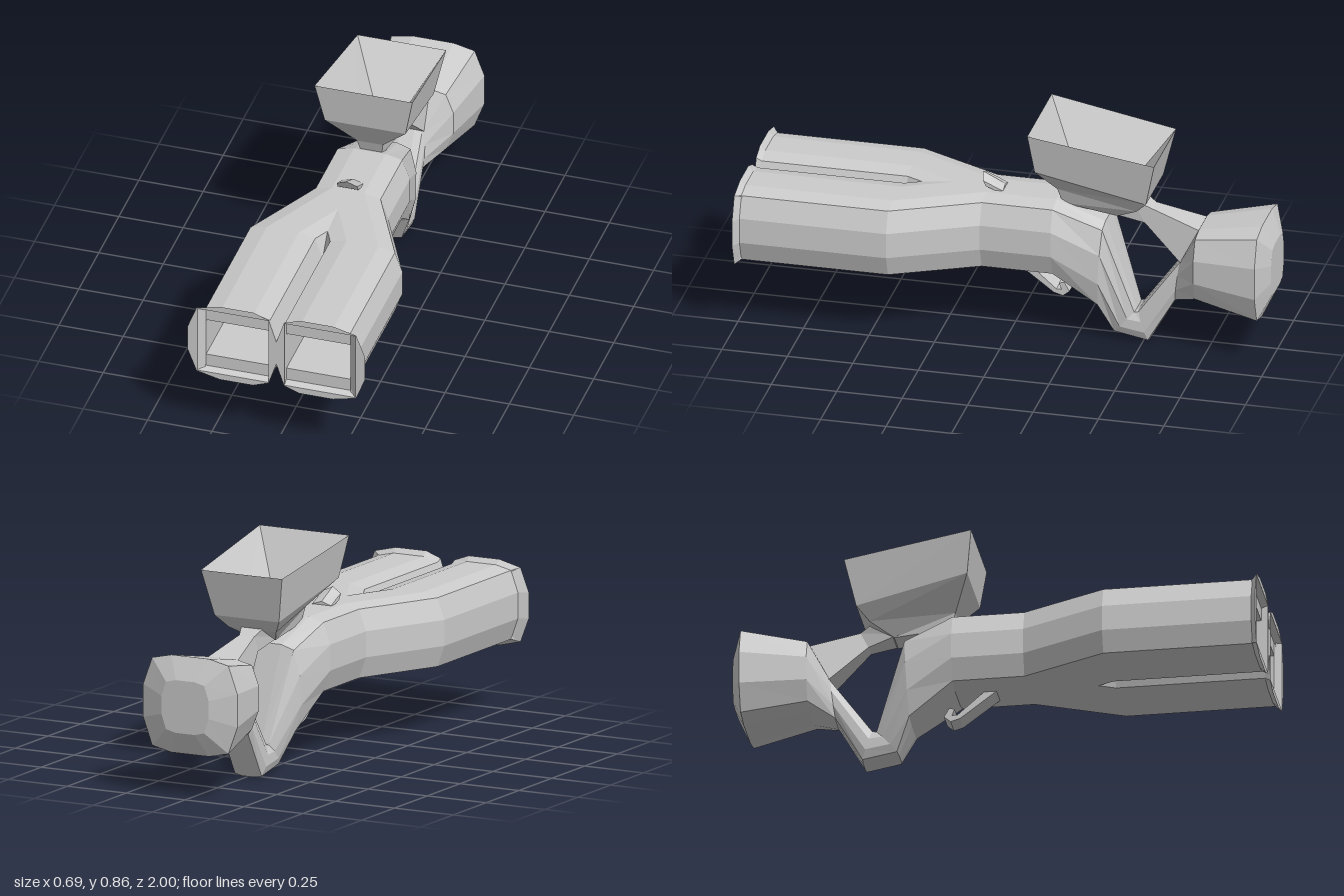
import * as THREE from 'three';

const material = new THREE.MeshStandardMaterial({ color: 0xcccccc, flatShading: true, side: THREE.DoubleSide });

// Unit cross-sections, counter-clockwise
const ROUND = [[1, -0.34], [1, 0.34], [0.81, 0.9], [0.4, 1], [-0.4, 1], [-0.81, 0.9],
  [-1, 0.34], [-1, -0.34], [-0.81, -0.9], [-0.4, -1], [0.4, -1], [0.81, -0.9]];
const BOX = [[1, -1], [1, 1], [-1, 1], [-1, -1]];
const ROOF = [[1, -1], [1, 0], [0, 1], [-1, 0], [-1, -1]];

// Ring spanned between a top and a bottom point, each given as [z, y]
function ring(profile, top, bottom, hx, { cx = 0, hxTop = hx } = {}) {
  return profile.map(([px, py]) => {
    const t = (py + 1) / 2;
    return [
      cx + px * (hx + (hxTop - hx) * t),
      bottom[1] + (top[1] - bottom[1]) * t,
      bottom[0] + (top[0] - bottom[0]) * t,
    ];
  });
}

function mesh(geometry, name) {
  const m = new THREE.Mesh(geometry, material);
  m.name = name;
  return m;
}

// Faceted skin through successive rings, optionally closed at the ends
function loft(name, rings, capStart = false, capEnd = false) {
  const pos = [];
  const tri = (a, b, c) => pos.push(...a, ...b, ...c);
  const n = rings[0].length;
  for (let i = 0; i < rings.length - 1; i++) {
    for (let j = 0; j < n; j++) {
      const k = (j + 1) % n;
      const [a, b, c, d] = [rings[i][j], rings[i][k], rings[i + 1][j], rings[i + 1][k]];
      tri(a, c, b);
      tri(b, c, d);
    }
  }
  const first = rings[0], last = rings[rings.length - 1];
  for (let j = 1; j < n - 1; j++) {
    if (capStart) tri(first[0], first[j], first[j + 1]);
    if (capEnd) tri(last[0], last[j + 1], last[j]);
  }
  const g = new THREE.BufferGeometry();
  g.setAttribute('position', new THREE.Float32BufferAttribute(pos, 3));
  g.computeVertexNormals();
  return mesh(g, name);
}

const CY = 0.407, HY = 0.145, HX = 0.155;
const tube = (z, cx) => ring(ROUND, [z, CY + HY], [z, CY - HY], HX, { cx });
const rect = (z, x0, x1, hy) =>
  ring(BOX, [z, CY + hy], [z, CY - hy], (x1 - x0) / 2, { cx: (x0 + x1) / 2 });

function barrel(name) {
  const group = new THREE.Group();
  group.name = name;
  // Flared lip, wider on the outer side only
  const lip = [[0.345, -0.05], [0.345, 0.05], [0.31, 0.141], [0.22, 0.163], [0.09, 0.163], [0.03, 0.141],
    [0, 0.05], [0, -0.05], [0.03, -0.141], [0.09, -0.163], [0.22, -0.163], [0.31, -0.141]];
  const lipRing = lip.map(([x, y]) => [x, CY + y, 1]);
  group.add(loft('barrelShell', [lipRing, tube(0.98, HX), tube(0.42, HX), tube(0.1, 0)]));

  // Front of the lip
  const shape = new THREE.Shape(lip.map(([x, y]) => new THREE.Vector2(x, CY + y)));
  const opening = rect(1, 0.031, 0.307, 0.138);
  shape.holes.push(new THREE.Path(opening.map(([x, y]) => new THREE.Vector2(x, y)).reverse()));
  const face = new THREE.ShapeGeometry(shape);
  face.translate(0, 0, 1);
  group.add(mesh(face, 'lipFace'));

  // Recessed muzzle and rectangular bore
  group.add(loft('bore', [
    rect(0.45, 0.032, 0.28, 0.077),
    rect(0.975, 0.032, 0.28, 0.077),
    rect(0.975, 0.031, 0.28, 0.127),
    opening,
  ], true));
  return group;
}

// Side profile [z, y] extruded across the width
function sidePlate(name, points, width) {
  const shape = new THREE.Shape(points.map(([z, y]) => new THREE.Vector2(z, y)));
  const g = new THREE.ExtrudeGeometry(shape, { depth: width, bevelEnabled: false });
  g.translate(0, 0, -width / 2);
  g.rotateY(-Math.PI / 2);
  return mesh(g, name);
}

export function createModel() {
  const model = new THREE.Group();
  model.name = 'doubleBarrelBlaster';

  // Twin barrels sliding together into one body
  const left = barrel('leftBarrel');
  const right = barrel('rightBarrel');
  right.scale.x = -1;
  model.add(left, right);

  // Body bending down to the elbow, then up into the bulbous stock
  model.add(loft('bodyAndStock', [
    tube(0.1, 0),
    tube(-0.17, 0),
    ring(ROUND, [-0.355, 0.48], [-0.335, 0.14], 0.125),
    ring(ROUND, [-0.47, 0.125], [-0.385, 0.03], 0.07),
    ring(ROUND, [-0.48, 0.13], [-0.52, 0.005], 0.07),
    ring(ROUND, [-0.64, 0.35], [-0.62, 0.18], 0.07),
    ring(ROUND, [-0.715, 0.49], [-0.715, 0.22], 0.155),
    ring(ROUND, [-0.96, 0.54], [-0.96, 0.17], 0.2),
    ring(ROUND, [-1, 0.455], [-1, 0.255], 0.1),
  ], false, true));

  // Open hopper: inside, rim, outside and neck
  model.add(loft('hopper', [
    ring(BOX, [-0.43, 0.6], [-0.21, 0.63], 0.065),
    ring(BOX, [-0.57, 0.78], [-0.09, 0.86], 0.19, { hxTop: 0.172 }),
    ring(BOX, [-0.53, 0.605], [-0.11, 0.7], 0.157, { hxTop: 0.137 }),
    ring(BOX, [-0.485, 0.555], [-0.17, 0.59], 0.05, { hxTop: 0.1 }),
    ring(BOX, [-0.4, 0.505], [-0.19, 0.53], 0.04, { hxTop: 0.05 }),
  ], true, true));

  // Strut from the hopper to the stock
  model.add(loft('strut', [
    ring(BOX, [-0.46, 0.58], [-0.38, 0.515], 0.055),
    ring(BOX, [-0.53, 0.54], [-0.5, 0.48], 0.032),
    ring(BOX, [-0.72, 0.485], [-0.65, 0.34], 0.065),
  ], true, true));

  // Peaked front sight
  model.add(loft('sight', [
    ring(ROOF, [0.125, 0.607], [0.105, 0.565], 0.04),
    ring(ROOF, [0.04, 0.565], [0.04, 0.54], 0.04),
  ], true, true));

  // Hooked trigger
  model.add(sidePlate('trigger', [[0, 0.275], [-0.155, 0.16], [-0.19, 0.15], [-0.215, 0.17],
    [-0.195, 0.205], [-0.175, 0.2], [-0.185, 0.175], [-0.165, 0.175], [-0.05, 0.275]], 0.084));

  return model;
}
